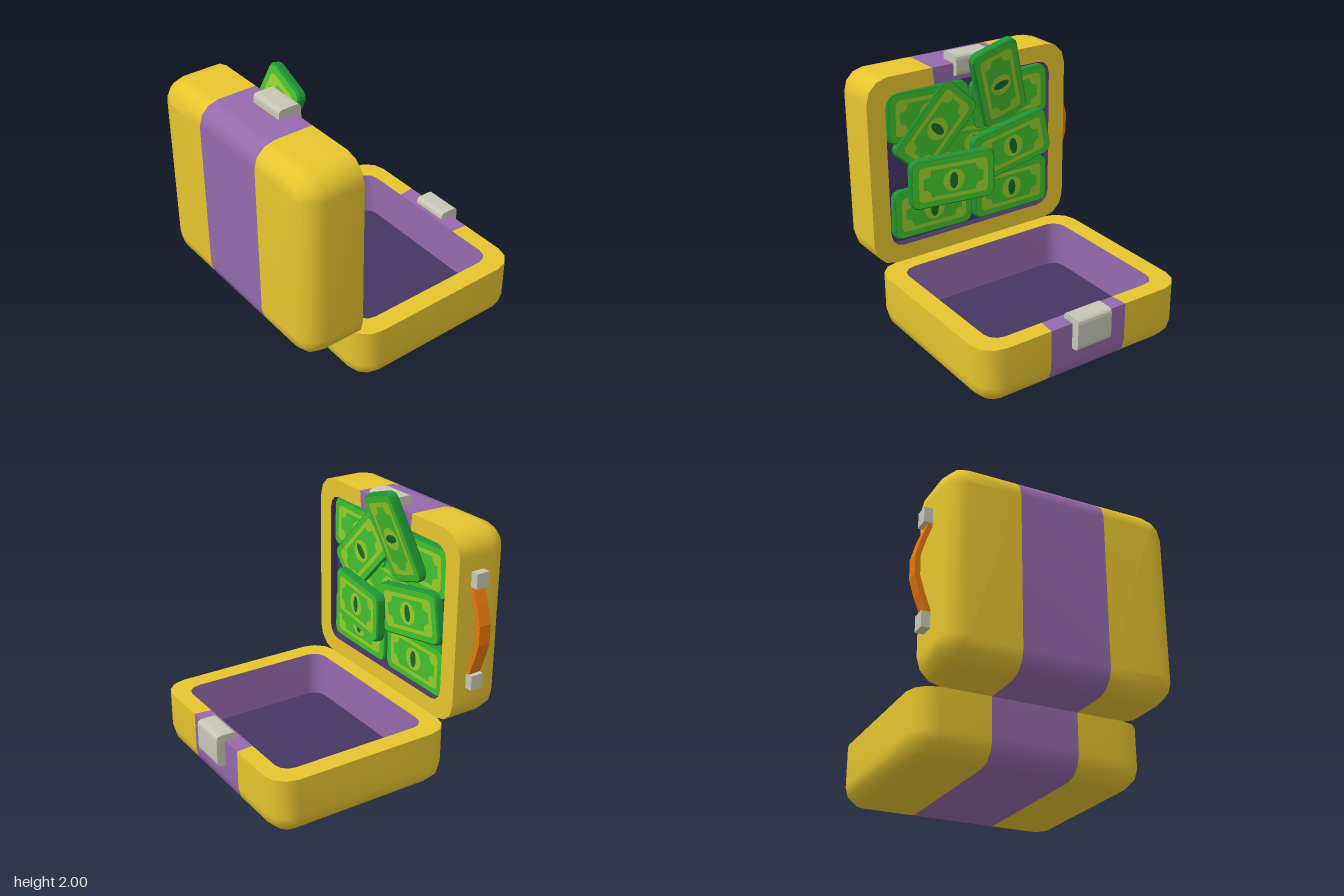
import * as THREE from 'three';

const mat = (name, color) => {
  const m = new THREE.MeshStandardMaterial({ color });
  m.name = name;
  return m;
};

const H = 0.435, HX = 0.83, HZ = 0.7025, STRIPE = 0.31;
const SEG = 3, HALF = 2 * SEG + 4, N = 2 * HALF;

// Rounded-rectangle ring, with points where the stripe starts and ends.
// The first half of the indices is the +x side; HALF-1 and N-1 start the stripe spans.
function ring(hx, hz, r, y, stripe = STRIPE) {
  const pts = [];
  const corner = (sx, sz, start) => {
    for (let k = 0; k <= SEG; k++) {
      const a = start + (k / SEG) * Math.PI / 2;
      pts.push([sx * (hx - r) + r * Math.cos(a), y, sz * (hz - r) + r * Math.sin(a)]);
    }
  };
  pts.push([stripe, y, -hz]);
  corner(1, -1, -Math.PI / 2);
  corner(1, 1, 0);
  pts.push([stripe, y, hz], [-stripe, y, hz]);
  corner(-1, 1, Math.PI / 2);
  corner(-1, -1, Math.PI);
  pts.push([-stripe, y, -hz]);
  return pts;
}

// Skin a list of rings; pick(i) gives the material slot of each span
function loft(rings, pick, capEnd) {
  const lists = [[], []];
  for (let r = 0; r < rings.length - 1; r++) {
    for (let i = 0; i < N; i++) {
      const j = (i + 1) % N, a = r * N, b = a + N;
      lists[pick(i)].push(a + i, a + j, b + i, a + j, b + j, b + i);
    }
  }
  if (capEnd) {
    const o = (rings.length - 1) * N;
    for (const s of [0, HALF]) {
      for (let i = s + 1; i < s + HALF - 1; i++) lists[0].push(o + s, o + i, o + i + 1);
    }
    lists[1].push(o, o + HALF - 1, o + HALF, o, o + HALF, o + N - 1);
  }
  const g = new THREE.BufferGeometry();
  g.setAttribute('position', new THREE.Float32BufferAttribute(rings.flat(2), 3));
  g.setIndex([...lists[0], ...lists[1]]);
  g.addGroup(0, lists[0].length, 0);
  g.addGroup(lists[0].length, lists[1].length, 1);
  g.computeVertexNormals();
  return g;
}

function roundedShape(w, h, r) {
  const s = new THREE.Shape(), x = w / 2, y = h / 2;
  s.moveTo(-x + r, -y);
  s.lineTo(x - r, -y); s.quadraticCurveTo(x, -y, x, -y + r);
  s.lineTo(x, y - r); s.quadraticCurveTo(x, y, x - r, y);
  s.lineTo(-x + r, y); s.quadraticCurveTo(-x, y, -x, y - r);
  s.lineTo(-x, -y + r); s.quadraticCurveTo(-x, -y, -x + r, -y);
  return s;
}

export function createModel() {
  const yellow = mat('yellow case', 0xeecb30);
  const purple = mat('purple stripe', 0x956aac);
  const dark = mat('dark lining', 0x463562);
  const grey = mat('grey metal', 0xc6c7b5);
  const orange = mat('orange handle', 0xe8780f);
  const billEdge = mat('dark green edge', 0x1f9433);
  const billFace = mat('green face', 0x42c02c);
  const lime = mat('lime print', 0x98cc2a);
  const ink = mat('deep green ink', 0x146a2a);

  const model = new THREE.Group();
  model.name = 'openCase';
  const add = (parent, name, geo, material, x = 0, y = 0, z = 0) => {
    const m = new THREE.Mesh(geo, material);
    m.name = name;
    m.position.set(x, y, z);
    parent.add(m);
    return m;
  };

  // One half of the case: outer skin, rim, inner wall and lining
  function shell(name, floorY, wallMat, rimStripe) {
    const g = new THREE.Group();
    g.name = name;
    const R = 0.17, B = 0.15, outer = [ring(HX, HZ, R, H)];
    for (let k = 0; k <= SEG; k++) {
      const a = (k / SEG) * Math.PI / 2, inset = B * (1 - Math.cos(a));
      outer.push(ring(HX - inset, HZ - inset, R - inset, B * (1 - Math.sin(a))));
    }
    const inner = y => ring(0.69, 0.5775, 0.1, y, 0.297);
    add(g, name + 'Skin', loft(outer, i => (i === HALF - 1 || i === N - 1 ? 1 : 0), true), [yellow, purple]);
    add(g, name + 'Rim', loft([inner(H), outer[0]], i => (i === rimStripe ? 1 : 0)), [yellow, purple]);
    add(g, name + 'InnerWall', loft([inner(floorY), inner(H)], () => 0), [wallMat, wallMat]);
    const lining = new THREE.ShapeGeometry(roundedShape(1.38, 1.155, 0.1));
    lining.rotateX(-Math.PI / 2);
    add(g, name + 'Lining', lining, dark, 0, floorY, 0);
    model.add(g);
    return g;
  }
  shell('base', 0.09, purple, N - 1).position.set(0.055, 0, -0.1825);
  const lid = shell('lid', 0.37, dark, HALF - 1);
  lid.rotation.x = -Math.PI / 2;
  lid.position.set(0.055, 1.1375, 0.95);

  // Clasp halves: rounded profile drawn out along x, with square ends
  const clasp = (name, depth, height, y, z) => {
    const geo = new THREE.ExtrudeGeometry(roundedShape(depth, height, 0.035), {
      depth: 0.28, bevelEnabled: false, curveSegments: 3,
    });
    geo.translate(0, 0, -0.14);
    geo.rotateY(Math.PI / 2);
    add(model, name, geo, grey, 0.055, y, z);
  };
  clasp('baseClasp', 0.155, 0.235, 0.365, -0.87);
  clasp('lidClasp', 0.17, 0.155, 1.828, 0.56);

  // Carrying handle: curved strap between two brackets
  for (const y of [0.77, 1.515]) {
    add(model, 'handleBracket', new THREE.BoxGeometry(0.08, 0.11, 0.1), grey, -0.795, y, 0.67);
  }
  const arc = [[-0.775, 0.8], [-0.832, 0.95], [-0.867, 1.07], [-0.867, 1.21], [-0.832, 1.33], [-0.775, 1.48]];
  const strap = new THREE.Shape([
    ...arc.map(([x, y]) => new THREE.Vector2(x - 0.018, y)),
    ...arc.slice().reverse().map(([x, y]) => new THREE.Vector2(x + 0.018, y)),
  ]);
  add(model, 'handleStrap', new THREE.ExtrudeGeometry(strap, { depth: 0.095, bevelEnabled: false }), orange, 0, 0, 0.622);

  // Bundles of notes: rounded slab with layered print on both faces
  const W = 0.66, T = 0.375;
  const slab = new THREE.ExtrudeGeometry(roundedShape(W - 0.02, T - 0.02, 0.06), {
    depth: 0.045, bevelThickness: 0.01, bevelSize: 0.01, bevelSegments: 1, curveSegments: 4,
  });
  slab.translate(0, 0, -0.0225);
  const frame = roundedShape(0.54, 0.265, 0.04);
  const hole = new THREE.Path();
  // Inner window with scooped corners
  const x = 0.235, y = 0.103, c = 0.06;
  hole.moveTo(-x + c, -y);
  hole.lineTo(x - c, -y); hole.quadraticCurveTo(x - c, -y + c, x, -y + c);
  hole.lineTo(x, y - c); hole.quadraticCurveTo(x - c, y - c, x - c, y);
  hole.lineTo(-x + c, y); hole.quadraticCurveTo(-x + c, y - c, -x, y - c);
  hole.lineTo(-x, -y + c); hole.quadraticCurveTo(-x + c, -y + c, -x + c, -y);
  frame.holes.push(hole);
  const prints = [
    ['noteFace', new THREE.ShapeGeometry(roundedShape(W - 0.025, T - 0.025, 0.06)), billFace],
    ['noteFrame', new THREE.ShapeGeometry(frame), lime],
    ['noteOval', new THREE.CircleGeometry(0.085, 20), lime],
    ['noteMark', new THREE.CircleGeometry(0.05, 12).scale(0.65, 1.3, 1), ink],
  ];
  // Each: x, y, z, then rotation about x, y and z
  const notes = [
    [0.39, 1.51, 0.565, 0, 0, 0.03],
    [-0.3, 1.49, 0.565, 0, 0, -0.03],
    [0.375, 0.775, 0.565, 0, 0, 0.02],
    [-0.305, 0.765, 0.565, 0, 0, 0],
    [0.02, 1.2, 0.572, 0, 0, 0.1],
    [0.34, 1.385, 0.55, 0, 0, -0.8],
    [-0.285, 1.125, 0.515, 0, 0, -0.19],
    [0.265, 1.007, 0.46, 0, -0.13, 0.01],
    [-0.145, 1.65, 0.462, -0.24, 0, 1.25],
  ];
  for (const [px, py, pz, rx, ry, rz] of notes) {
    const note = new THREE.Group();
    note.name = 'noteBundle';
    note.position.set(px, py, pz);
    note.rotation.set(rx, ry, rz);
    add(note, 'noteSlab', slab, billEdge);
    for (const s of [1, -1]) {
      prints.forEach(([name, geo, m], k) => {
        const p = add(note, name, geo, m, 0, 0, s * (0.034 + 0.002 * k));
        if (s < 0) p.rotation.y = Math.PI;
      });
    }
    model.add(note);
  }
  return model;
}
